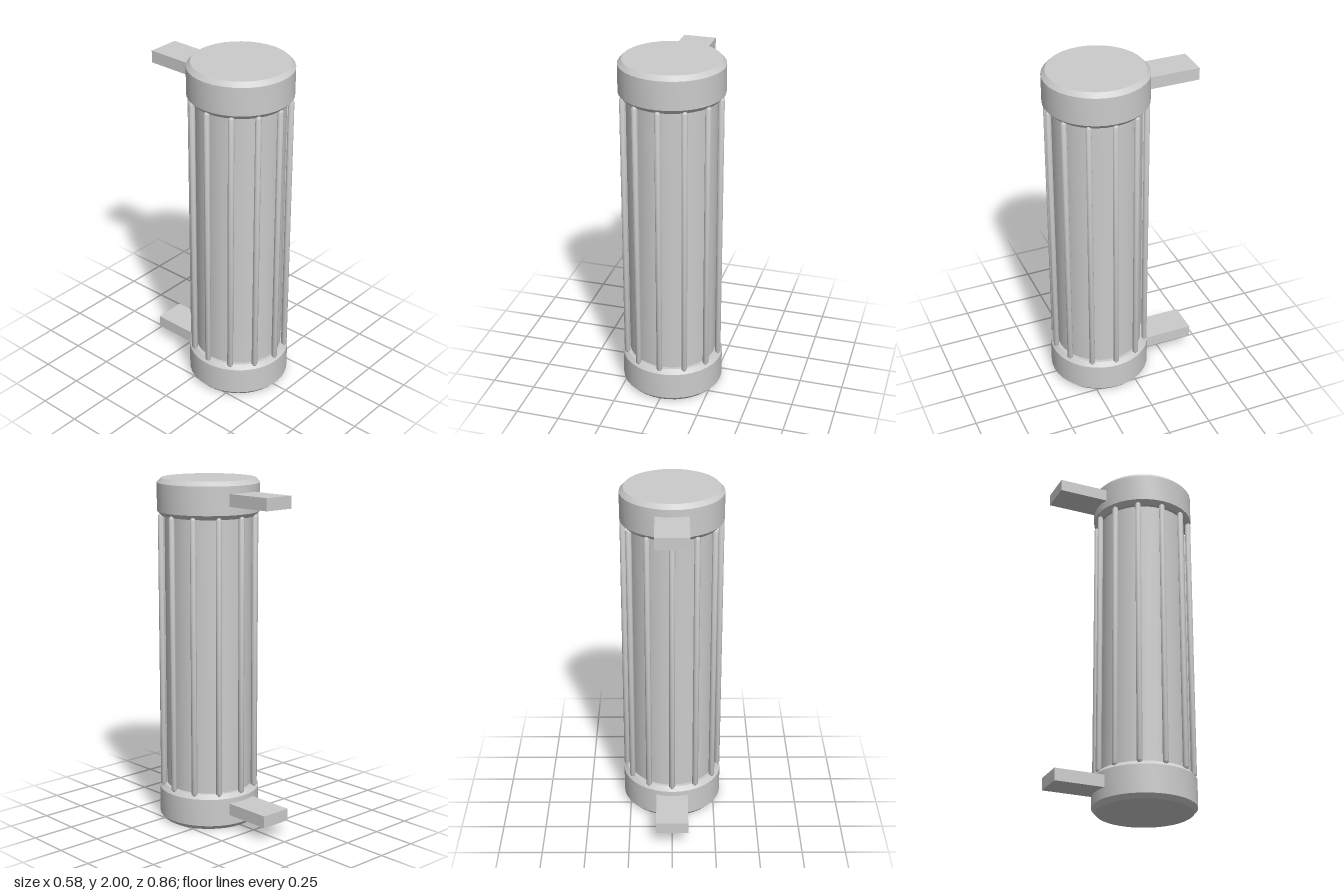
import * as THREE from 'three';
import { toCreasedNormals } from 'three/addons/utils/BufferGeometryUtils.js';

const CENTER_Z = 0.133;
const material = new THREE.MeshStandardMaterial({ color: 0xcccccc });

// Solid of revolution with crisp edges; profile runs bottom to top
function turned(profile, segments, crease = 0.45) {
  const points = profile.map(([r, y]) => new THREE.Vector2(r, y));
  return toCreasedNormals(new THREE.LatheGeometry(points, segments), crease);
}

function add(parent, name, geometry, x, y, z) {
  const mesh = new THREE.Mesh(geometry, material);
  mesh.name = name;
  mesh.position.set(x, y, z);
  parent.add(mesh);
  return mesh;
}

export function createModel() {
  const model = new THREE.Group();
  model.name = 'ribbedCanister';

  // Inner body between the caps
  add(model, 'body', new THREE.CylinderGeometry(0.25, 0.25, 1.64, 36), 0, 1, CENTER_Z);

  // Chamfered end caps, symmetric about their own middle
  const cap = turned([
    [0, -0.105], [0.269, -0.105], [0.292, -0.08],
    [0.292, 0.08], [0.269, 0.105], [0, 0.105],
  ], 36);
  add(model, 'bottomCap', cap, 0, 0.105, CENTER_Z);
  add(model, 'topCap', cap, 0, 1.895, CENTER_Z);

  // Ring of twelve thin rods with tapered ends
  const rods = new THREE.Group();
  rods.name = 'rods';
  model.add(rods);
  const rod = turned([
    [0, -0.81], [0.017, -0.79], [0.017, 0.79], [0, 0.81],
  ], 8, 0.9);
  for (let i = 0; i < 12; i++) {
    const a = (i * Math.PI) / 6;
    add(rods, 'rod', rod, 0.274 * Math.sin(a), 1, CENTER_Z + 0.274 * Math.cos(a));
  }

  // Flat mounting brackets reaching back from each cap
  const bracket = new THREE.BoxGeometry(0.186, 0.07, 0.33);
  add(model, 'bottomBracket', bracket, 0, 0.12, -0.265);
  add(model, 'topBracket', bracket, 0, 1.898, -0.265);

  return model;
}
